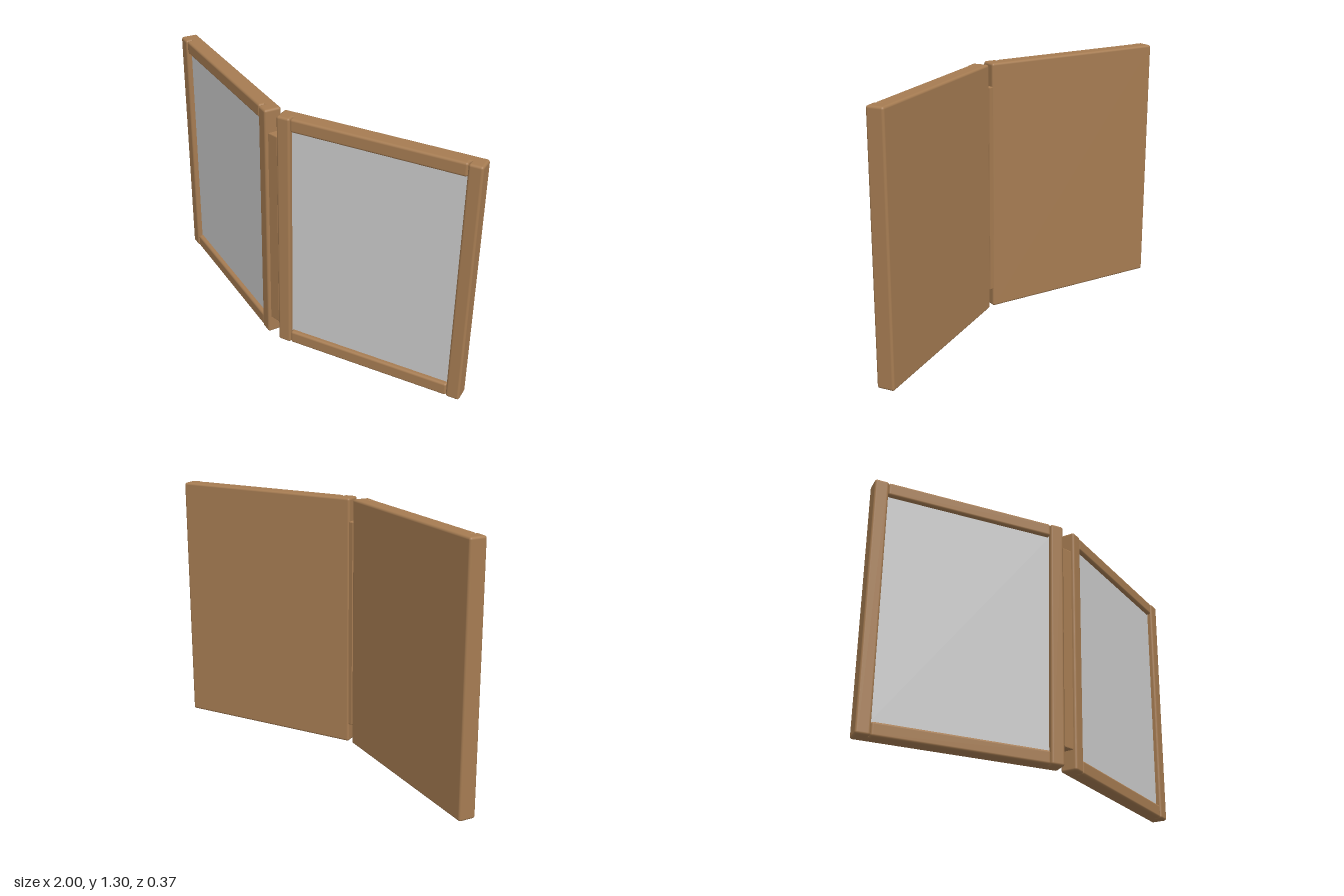
import * as THREE from 'three';
import { RoundedBoxGeometry } from 'three/addons/geometries/RoundedBoxGeometry.js';

const WIDTH = 1.008, HEIGHT = 1.305, DEPTH = 0.088, BAR = 0.07, RECESS = 0.027;
const ANGLE = 0.292;

export function createModel() {
  const wood = new THREE.MeshStandardMaterial({ color: 0xa67c52 });
  wood.name = 'wood';
  const glass = new THREE.MeshStandardMaterial({ color: 0xcccccc });
  glass.name = 'glass';

  const model = new THREE.Group();
  model.name = 'foldingDoubleFrame';

  const add = (parent, name, geometry, material, x, y, z) => {
    const mesh = new THREE.Mesh(geometry, material);
    mesh.name = name;
    mesh.position.set(x, y, z);
    parent.add(mesh);
  };
  const rounded = (w, h, d, r = 0.012) => new RoundedBoxGeometry(w, h, d, 3, r);

  const front = DEPTH / 2;
  const boardDepth = DEPTH - RECESS - 0.003;
  const barDepth = 0.06;
  const railDepth = barDepth - 0.004;
  const openW = WIDTH - 2 * BAR, openH = HEIGHT - 2 * BAR;

  for (const side of [-1, 1]) {
    const panel = new THREE.Group();
    panel.name = side > 0 ? 'leftPanel' : 'rightPanel';
    panel.position.set(side * 0.5075, HEIGHT / 2, 0);
    panel.rotation.y = side * ANGLE;
    model.add(panel);

    // Solid back, with the picture pane on its front
    add(panel, 'backBoard', rounded(WIDTH, HEIGHT, boardDepth), wood, 0, 0, -front + boardDepth / 2);
    add(panel, 'pane', new THREE.BoxGeometry(openW + 0.02, openH + 0.02, 0.006), glass, 0, 0, front - RECESS - 0.003);

    // Full-height stiles, with slightly shallower rails between them
    for (const s of [-1, 1]) {
      add(panel, 'stile', rounded(BAR, HEIGHT, barDepth), wood,
        s * (WIDTH - BAR) / 2, 0, front - barDepth / 2);
      add(panel, 'rail', rounded(openW, BAR, railDepth), wood,
        0, s * (HEIGHT - BAR) / 2, front - 0.004 - railDepth / 2);
    }
  }

  // Wedge-shaped hinge post filling the gap between the panels
  const bevel = 0.006, y0 = 0.1, y1 = 1.19;
  const shape = new THREE.Shape([
    new THREE.Vector2(-0.022, -0.17),
    new THREE.Vector2(0.022, -0.17),
    new THREE.Vector2(0.007, -0.108),
    new THREE.Vector2(-0.007, -0.108),
  ]);
  const post = new THREE.ExtrudeGeometry(shape, {
    depth: y1 - y0 - 2 * bevel, bevelEnabled: true,
    bevelSize: bevel, bevelThickness: bevel, bevelSegments: 3,
  });
  post.rotateX(-Math.PI / 2);
  add(model, 'hingePost', post, wood, 0, y0 + bevel, 0);

  return model;
}
